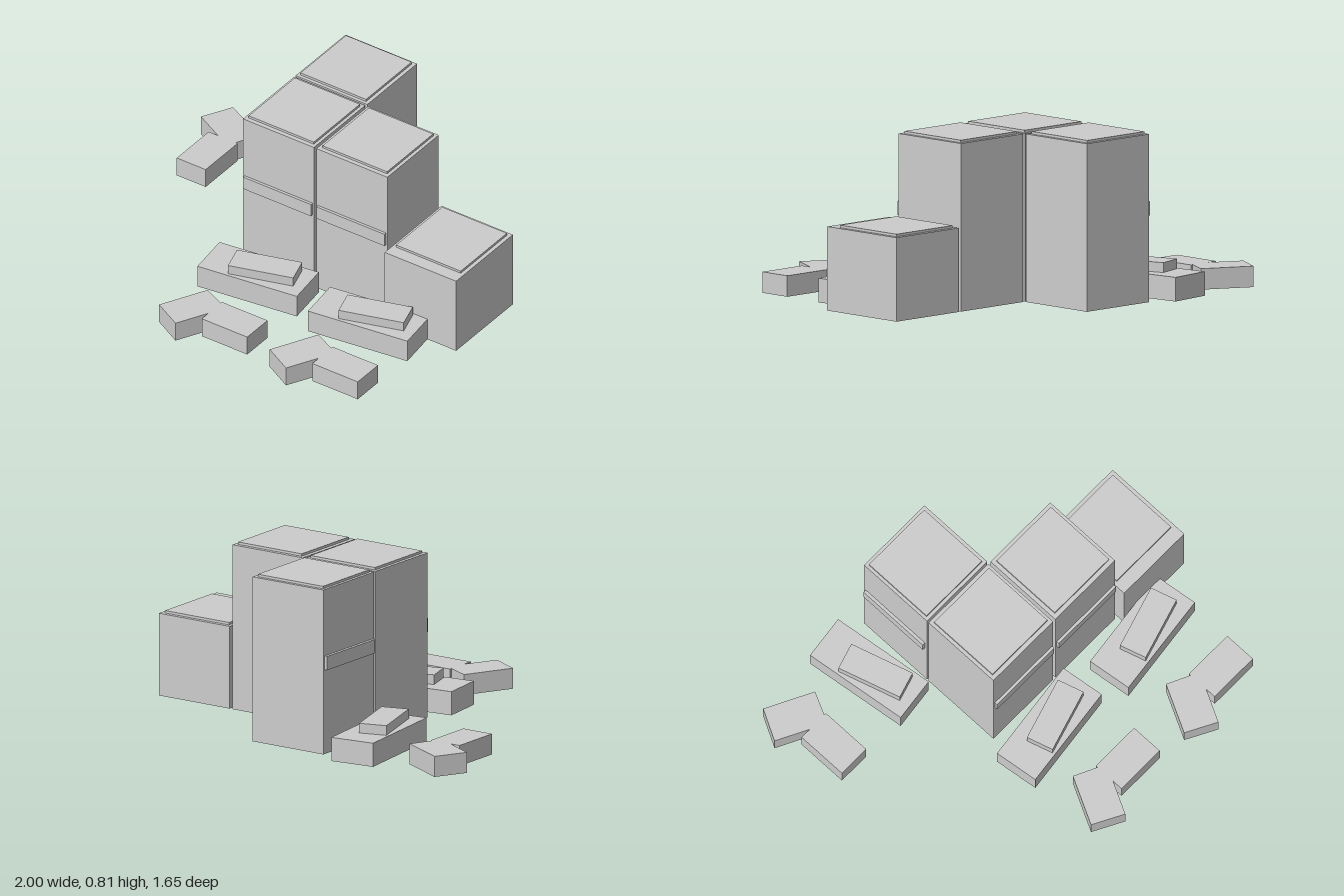
import * as THREE from 'three';

const grey = new THREE.MeshStandardMaterial({ color: 0xcccccc });
grey.name = 'plain grey';

// Box given by its limits on each axis
function block(name, x0, x1, y0, y1, z0, z1) {
  const mesh = new THREE.Mesh(new THREE.BoxGeometry(x1 - x0, y1 - y0, z1 - z0), grey);
  mesh.position.set((x0 + x1) / 2, (y0 + y1) / 2, (z0 + z1) / 2);
  mesh.name = name;
  return mesh;
}

// Box standing at height y, turned about the vertical axis
function slab(name, length, height, width, x, y, turn) {
  const mesh = new THREE.Mesh(new THREE.BoxGeometry(length, height, width), grey);
  mesh.position.set(x, y + height / 2, 0);
  mesh.rotation.y = turn;
  mesh.name = name;
  return mesh;
}

// Bent step outline as [x, z], relative to the plank centre
const bend = [
  [0.264, 0.299], [0.264, 0.465], [0.003, 0.465], [0.003, 0.411], [-0.077, 0.566],
  [-0.227, 0.486], [-0.109, 0.256], [0.003, 0.31], [0.003, 0.299],
];

// Plank with a smaller plank on top and a bent piece lying before it
function debris(name, x, z, turn) {
  const group = new THREE.Group();
  group.name = name;
  group.add(slab('lowerPlank', 0.528, 0.115, 0.223, 0, 0, 0.128));
  group.add(slab('upperPlank', 0.323, 0.047, 0.135, 0.04, 0.115, 0.293));
  const shape = new THREE.Shape(bend.map(([px, pz]) => new THREE.Vector2(px, -pz)));
  const geometry = new THREE.ExtrudeGeometry(shape, { depth: 0.1, bevelEnabled: false });
  geometry.rotateX(-Math.PI / 2);
  const bent = new THREE.Mesh(geometry, grey);
  bent.name = 'bentPiece';
  group.add(bent);
  group.position.set(x, 0, z);
  group.rotation.y = turn;
  return group;
}

export function createModel() {
  const model = new THREE.Group();
  model.name = 'blockCluster';

  // Towers: body limits, height, and lid limits
  const towers = [
    ['backTower', -0.257, 0.154, -0.752, -0.345, 0.8, -0.242, 0.135, -0.735, -0.362],
    ['middleTower', -0.257, 0.15, -0.334, 0.086, 0.8, -0.24, 0.134, -0.314, 0.064],
    ['leftTower', 0.165, 0.572, -0.334, 0.086, 0.8, 0.185, 0.555, -0.314, 0.064],
    ['lowTower', 0.588, 0.998, -0.334, 0.13, 0.4, 0.607, 0.978, -0.314, 0.064],
  ];
  for (const [name, x0, x1, z0, z1, h, lx0, lx1, lz0, lz1] of towers) {
    const tower = new THREE.Group();
    tower.name = name;
    tower.add(block('body', x0, x1, 0, h, z0, z1));
    tower.add(block('lid', lx0, lx1, h, h + 0.012, lz0, lz1));
    model.add(tower);
  }

  // Raised bands on the outward faces of the tall towers
  model.add(block('middleBand', -0.247, 0.143, 0.41, 0.477, 0.08, 0.1));
  model.add(block('leftBand', 0.175, 0.565, 0.41, 0.477, 0.08, 0.1));
  model.add(block('backBand', -0.272, -0.25, 0.41, 0.477, -0.742, -0.358));

  // Planks and bent pieces around the towers
  model.add(debris('frontDebris', -0.052, 0.254, 0));
  model.add(debris('frontLeftDebris', 0.583, 0.254, 0));
  model.add(debris('rightDebris', -0.434, -0.55, -Math.PI / 2));
  return model;
}
